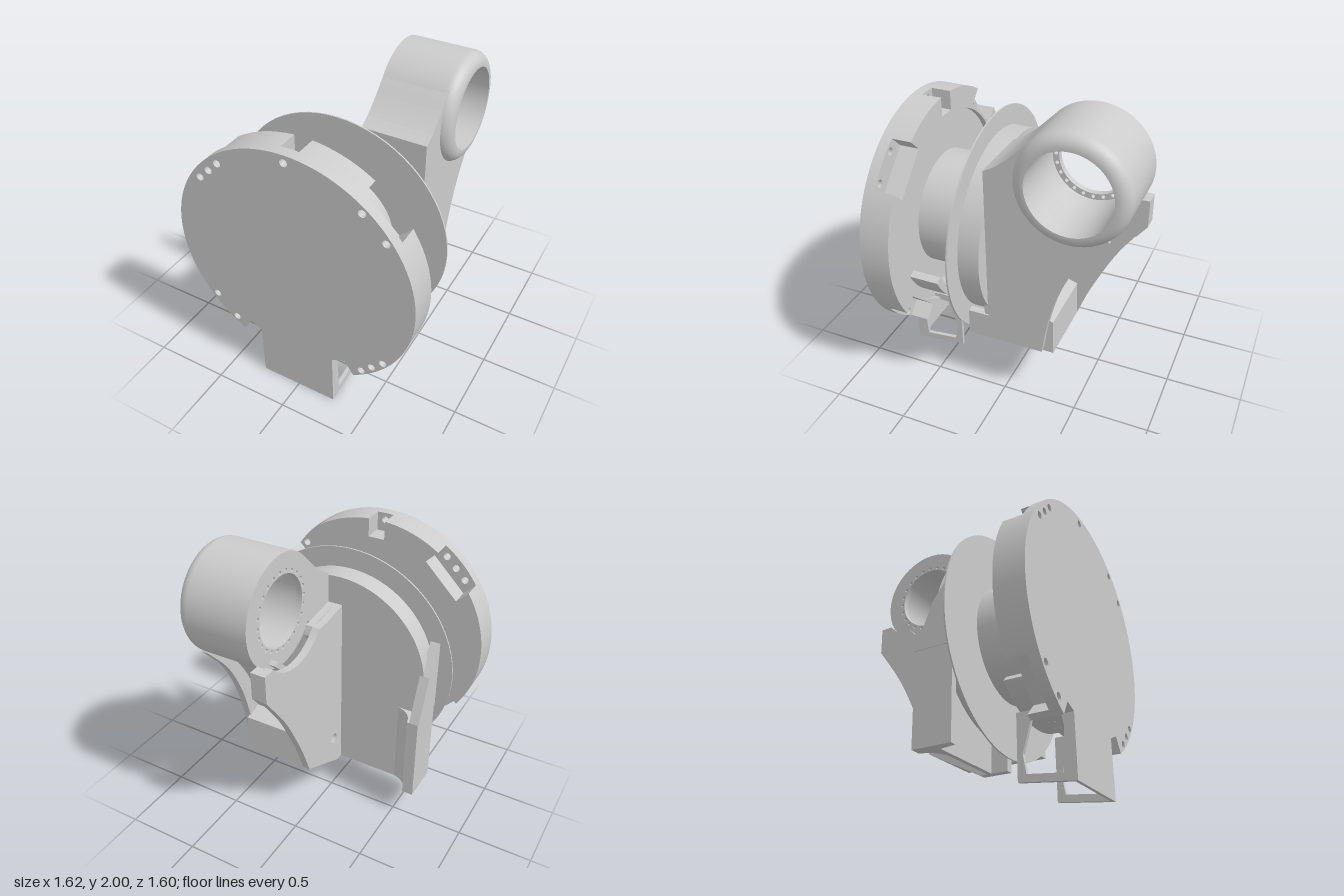
import * as THREE from 'three';

const CY = 1.03;                 // height of the main axis
const HUB = { z: -0.44, y: 1.645 }; // axis of the arm hub
const rad = THREE.MathUtils.degToRad;

export function createModel() {
  const root = new THREE.Group();
  const mat = new THREE.MeshStandardMaterial({ color: 0xcccccc, side: THREE.DoubleSide });

  const add = (name, geo) => {
    const mesh = new THREE.Mesh(geo, mat);
    mesh.name = name;
    root.add(mesh);
    return mesh;
  };
  const shapeOf = pts => new THREE.Shape(pts.map(p => new THREE.Vector2(p[0], p[1])));
  const circleHole = (x, y, r) => new THREE.Path().absarc(x, y, r, 0, Math.PI * 2, true);
  const opts = depth => ({ depth, bevelEnabled: false, curveSegments: 24 });
  // Smooth curve through a few points
  const smooth = (pts, n = 16) =>
    new THREE.SplineCurve(pts.map(p => new THREE.Vector2(p[0], p[1]))).getPoints(n).map(p => [p.x, p.y]);

  // Outline in x,y extruded from z0 to z1
  const slabZ = (name, shape, z0, z1) =>
    add(name, new THREE.ExtrudeGeometry(shape, opts(z1 - z0)).translate(0, 0, z0));
  // Profile given as (z, y) points, extruded from x0 to x1
  const slabX = (name, pts, x0, x1, holes = []) => {
    const s = shapeOf(pts.map(([z, y]) => [-z, y]));
    s.holes.push(...holes);
    return add(name, new THREE.ExtrudeGeometry(s, opts(x1 - x0)).rotateY(Math.PI / 2).translate(x0, 0, 0));
  };
  // Cylinder along z on the main axis
  const drum = (name, r, z0, z1) =>
    add(name, new THREE.CylinderGeometry(r, r, z1 - z0, 72).rotateX(Math.PI / 2).translate(0, CY, (z0 + z1) / 2));
  // Points on an arc about the hub axis, as (z, y)
  const hubArc = (r, a0, a1, n = 20) => Array.from({ length: n + 1 }, (_, i) => {
    const a = rad(a0 + (a1 - a0) * i / n);
    return [HUB.z + r * Math.cos(a), HUB.y + r * Math.sin(a)];
  });

  // Front disc: a drilled face and a rear layer with rim pockets
  const R = 0.81;
  const notch = [[-0.35, 0.42], [-0.27, 0.39], [0.265, 0.39], [0.355, 0.43]];
  const pockets = [[-45, 0.165], [45, 0.165], [90, 0.058], [135, 0.165], [225, 0.165]];
  const discOutline = pocketed => {
    const pts = [];
    for (let a = -59; a <= 240; a += 1) {
      const hit = pocketed && pockets.find(([c, w]) => Math.abs(a - c) < Math.asin(w / R) * 180 / Math.PI);
      if (!hit) { pts.push([R * Math.cos(rad(a)), CY + R * Math.sin(rad(a))]); continue; }
      const [c, w] = hit, ux = Math.cos(rad(c)), uy = Math.sin(rad(c));
      const rim = Math.sqrt(R * R - w * w);
      for (const [d, t] of [[rim, -w], [0.68, -w], [0.68, w], [rim, w]])
        pts.push([ux * d - uy * t, CY + uy * d + ux * t]);
      a = Math.floor(c + Math.asin(w / R) * 180 / Math.PI);
    }
    return shapeOf([...pts, ...notch]);
  };
  const face = discOutline(false);
  for (const [x, y] of [[-0.6, 1.49], [-0.53, 1.56], [-0.46, 1.63], [0, 1.79], [0.475, 1.635], [0.62, 1.49],
    [-0.6, 0.555], [-0.46, 0.41], [0.475, 0.41], [0.545, 0.48], [0.62, 0.555]])
    face.holes.push(circleHole(x, y, 0.025));
  slabZ('frontDiscFace', face, 0.73, 0.8);
  slabZ('frontDiscRear', discOutline(true), 0.64, 0.73);
  const rim = discOutline(true);
  rim.holes.push(circleHole(0, CY, 0.665));
  slabZ('frontDiscRim', rim, 0.6, 0.64);

  // Connector bracket under the disc: front plate and two windowed side frames
  slabX('connectorFront', [[0.8, 0], [0.775, 0.003], [0.775, 0.41], [0.8, 0.41]], -0.27, 0.265);
  for (const x of [-0.27, 0.24]) {
    const opening = new THREE.Path([[0.735, 0.32], [0.72, 0.055], [0.495, 0.08], [0.475, 0.2], [0.535, 0.4], [0.72, 0.4]]
      .map(([z, y]) => new THREE.Vector2(-z, y)));
    slabX('connectorSide', [[0.8, 0], [0.44, 0.04], [0.44, 0.45], [0.6, 0.45], [0.8, 0.41]], x, x + 0.025, [opening]);
  }
  // Curved guard behind the disc, around the lower part of the neck
  const guard = new THREE.Shape();
  guard.absarc(0, CY, 0.6, rad(-134), rad(-25), false);
  guard.absarc(0, CY, 0.55, rad(-25), rad(-134), true);
  slabZ('curvedGuard', guard, 0.44, 0.64);

  // Neck, thin flange and rear disc
  drum('neck', 0.39, 0.24, 0.64);
  drum('thinFlange', 0.75, 0.24, 0.25);
  drum('rearDisc', 0.615, 0.1, 0.24);

  // Lower back plate
  slabZ('lowerPlate', shapeOf([[-0.64, 0.2], [0.03, 0.2], [0.03, 0.42], [0.5, 0.42], [0.5, 0.68], [-0.61, 0.95]]), 0.1, 0.13);

  // Side fin with a concave fillet into the plate, and its tapered top
  const finSection = new THREE.Shape();
  finSection.moveTo(-0.645, -0.24);
  finSection.lineTo(-0.6, -0.24);
  finSection.lineTo(-0.58, -0.13);
  finSection.lineTo(-0.45, -0.13);
  finSection.lineTo(-0.45, -0.1);
  finSection.quadraticCurveTo(-0.55, -0.08, -0.57, 0.02);
  finSection.lineTo(-0.645, 0.02);
  add('sideFin', new THREE.ExtrudeGeometry(finSection, opts(0.6)).rotateX(-Math.PI / 2).translate(0, 0.2, 0));
  slabX('sideFinTip', [[0.24, 0.8], [-0.02, 0.8], [0.1, 1.1], [0.24, 1.28]], -0.65, -0.585);

  // Inner arm plate, cradling the hub
  slabX('innerArmPlate', [[0.24, 0.2], [0.05, 0.2],
    ...smooth([[-0.335, 0.4], [-0.39, 0.55], [-0.47, 0.73], [-0.6, 0.98], [-0.78, 1.235]]),
    [-0.78, 1.42], ...hubArc(0.34, -139, -41), [-0.09, 1.42], [0.1, 1.45], [0.24, 1.2]],
    -0.02, 0.03, [circleHole(0, 0.43, 0.035)]);
  // Thicker horns at both ends of the cradle
  slabX('rearHorn', [[-0.78, 1.24], [-0.78, 1.42], [-0.71, 1.42], [-0.71, 1.15]], 0.03, 0.08);
  slabX('frontHorn', [[-0.18, 1.42], [0.1, 1.45], [0.1, 1.2], [-0.1, 1.2], [-0.2, 1.36]], 0.03, 0.08);

  // Outer arm wall and the solid web joining the arm to the hub
  const topEdge = smooth([[0.1, 1.655], [0.02, 1.70], [-0.07, 1.775], [-0.15, 1.855], [-0.22, 1.918], [-0.3, 1.965]]);
  const backEdge = smooth([[-0.67, 1.36], [-0.5, 1.16], [-0.38, 0.92], [-0.31, 0.67], [-0.27, 0.42]]);
  slabX('outerArmWall', [...topEdge, ...hubArc(0.31, 65, -130), ...backEdge,
    [0.24, 0.42], [0.24, 0.6], [0.1, 0.6]], 0.46, 0.51);
  slabX('armWeb', [...topEdge, ...hubArc(0.31, 65, -35), [0.1, 1.2]], 0.08, 0.47);
  // Concave skin sweeping down from the hub between the two sides
  const skin = smooth([[-0.6, 1.37], [-0.44, 1.2], [-0.32, 1.02], [-0.25, 0.86], [-0.2, 0.66]]);
  slabX('armBackSkin', [...skin, ...skin.map(([z, y]) => [z + 0.03, y + 0.02]).reverse()], 0.03, 0.47);
  // Cross block closing the lower end of the arm
  slabX('armFoot', [[-0.335, 0.4], [-0.33, 0.65], [-0.18, 0.7], [-0.2, 0.4]], 0.03, 0.47);

  // Hub barrel with a rounded outer rim: (radius, x) profile
  const hub = [[0.265, 0.08], [0.355, 0.08], [0.355, 0.08], [0.355, 0.49]];
  for (let i = 1; i <= 8; i++) {
    const a = i / 8 * Math.PI / 2;
    hub.push([0.275 + 0.08 * Math.cos(a), 0.49 + 0.08 * Math.sin(a)]);
  }
  hub.push([0.265, 0.57], [0.265, 0.57], [0.265, 0.08]);
  add('hubBarrel', new THREE.LatheGeometry(hub.map(p => new THREE.Vector2(p[0], p[1])), 64)
    .rotateZ(-Math.PI / 2).translate(0, HUB.y, HUB.z));

  // Drilled ring inside the hub
  const ring = new THREE.Shape().absarc(0, 0, 0.268, 0, Math.PI * 2, false);
  ring.holes.push(circleHole(0, 0, 0.225));
  for (let i = 0; i < 24; i++) {
    const a = i / 24 * Math.PI * 2;
    ring.holes.push(circleHole(0.244 * Math.cos(a), 0.244 * Math.sin(a), 0.012));
  }
  add('hubBoltRing', new THREE.ExtrudeGeometry(ring, { depth: 0.04, bevelEnabled: false, curveSegments: 32 })
    .rotateY(Math.PI / 2).translate(0.08, HUB.y, HUB.z));

  return root;
}
